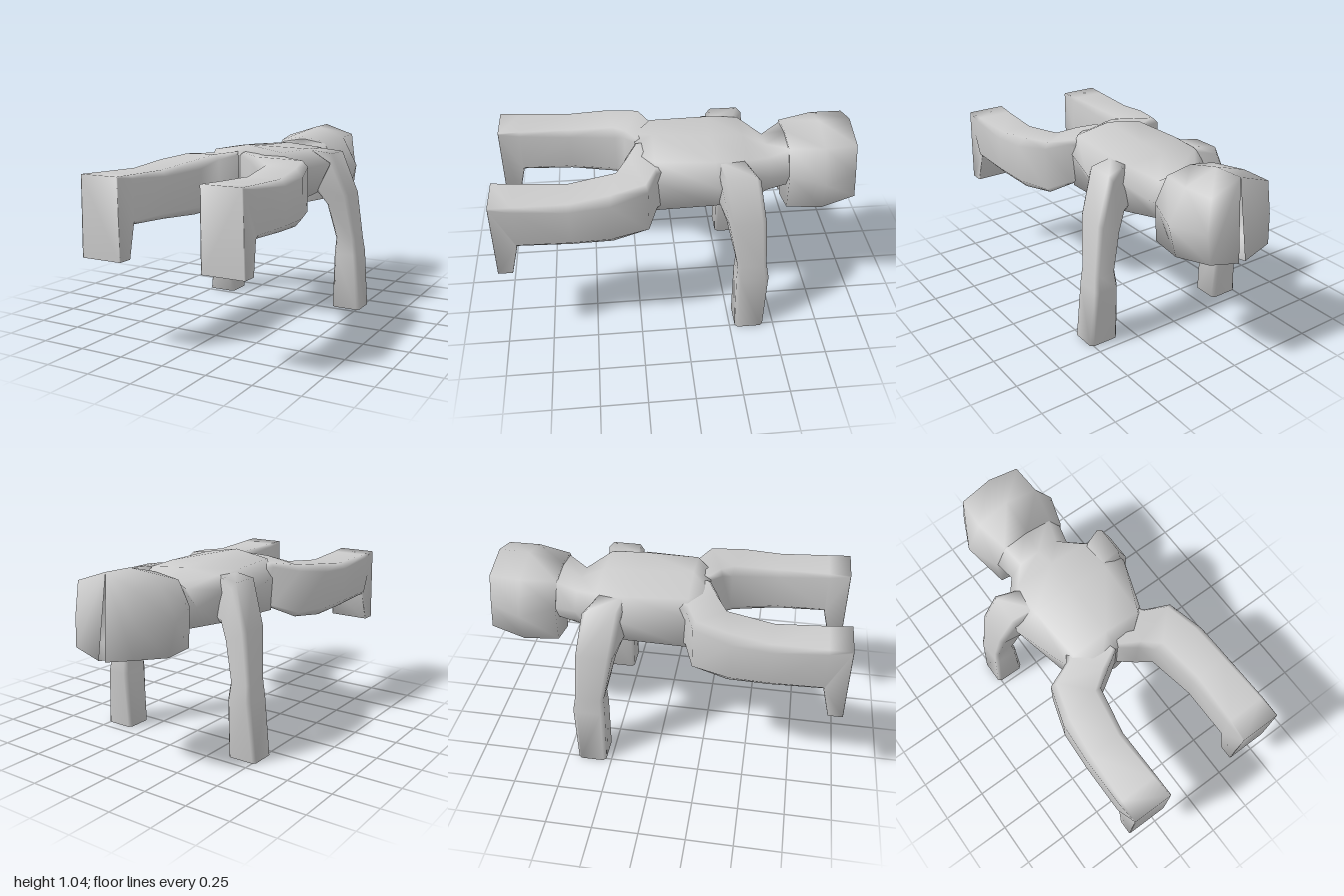
import * as THREE from 'three';

const material = new THREE.MeshStandardMaterial({ color: 0xcccccc, side: THREE.DoubleSide });

// Chamfered rectangle around centre c, with half axes a and b; k is the corner fullness
function ring(c, a, b, k) {
  const corners = [[1, k], [k, 1], [-k, 1], [-1, k], [-1, -k], [-k, -1], [k, -1], [1, -k]];
  return corners.map(([u, v]) => c.map((n, i) => n + a[i] * u + b[i] * v));
}

// Symmetric ring from a half profile running from top centre to the underside
function fullRing(z, half) {
  const right = half.map(([x, y, dz = 0]) => [x, y, z + dz]);
  const left = right.filter(p => p[0] > 0).reverse().map(([x, y, pz]) => [-x, y, pz]);
  return [...right, ...left];
}

// Smooth skin through rings, capped at both ends and wound outwards; side gap may stay open
function loft(name, rings, gap = -1) {
  const n = rings[0].length, last = (rings.length - 1) * n, index = [];
  for (let i = 0; i < n; i++) {
    if (i === gap) continue;
    const j = (i + 1) % n;
    for (let r = 0; r < last; r += n) {
      index.push(r + i, r + j, r + j + n, r + i, r + j + n, r + i + n);
    }
    if (i > 0 && j > 0) index.push(0, j, i, last, last + i, last + j);
  }

  const v = rings.flat().map(p => new THREE.Vector3(...p));
  const centre = v.reduce((s, p) => s.add(p), new THREE.Vector3()).divideScalar(v.length);
  const rel = v.map(p => p.clone().sub(centre));
  let volume = 0;
  for (let i = 0; i < index.length; i += 3) {
    volume += rel[index[i]].dot(rel[index[i + 1]].clone().cross(rel[index[i + 2]]));
  }
  if (volume < 0) index.reverse();

  const geometry = new THREE.BufferGeometry().setFromPoints(v);
  geometry.setIndex(index);
  geometry.computeVertexNormals();
  const mesh = new THREE.Mesh(geometry, material);
  mesh.name = name;
  return mesh;
}

const mirror = (rings, side) => rings.map(r => r.map(([x, y, z]) => [x * side, y, z]));

export function createModel() {
  const model = new THREE.Group();
  model.name = 'plankingFigure';

  // Pelvis, chest and neck
  model.add(loft('torso', [
    fullRing(0.235, [[0, 0.955], [0.1, 0.95], [0.13, 0.85], [0.1, 0.69], [0, 0.625]]),
    fullRing(0.14, [[0, 1.0], [0.21, 0.965], [0.25, 0.86], [0.24, 0.67], [0, 0.62]]),
    fullRing(-0.18, [[0, 0.975], [0.23, 0.957], [0.36, 0.88], [0.27, 0.7], [0, 0.63]]),
    fullRing(-0.36, [[0, 0.97], [0.22, 0.95], [0.28, 0.88], [0.24, 0.7], [0, 0.63]]),
    fullRing(-0.49, [[0, 0.9], [0.12, 0.89], [0.19, 0.8], [0.13, 0.68], [0, 0.635]]),
    fullRing(-0.61, [[0, 0.985], [0.15, 0.96], [0.215, 0.83], [0.16, 0.74], [0, 0.71]]),
  ]));

  // Head, parting slightly along the underside
  model.add(loft('head', [
    fullRing(-0.59, [[0, 0.985], [0.15, 0.96], [0.22, 0.83], [0.21, 0.615], [0.02, 0.565]]),
    fullRing(-0.78, [[0, 1.035], [0.19, 0.975], [0.285, 0.8], [0.235, 0.615], [0.02, 0.57]]),
    fullRing(-0.95, [[0, 1.04], [0.18, 0.98, -0.005], [0.2, 0.8, -0.015], [0.19, 0.645, -0.03], [0.02, 0.61, -0.05]]),
  ], 4));

  // Thigh, shin and downturned foot
  const leg = [
    ring([0.11, 0.83, 0.12], [0.11, -0.015, -0.04], [0, 0.125, 0], 0.8),
    ring([0.13, 0.825, 0.185], [0.125, -0.015, -0.05], [0, 0.13, 0], 0.85),
    ring([0.245, 0.795, 0.24], [0.148, -0.01, -0.05], [0, 0.15, 0], 0.8),
    ring([0.318, 0.77, 0.365], [0.137, 0, 0.025], [0, 0.15, 0], 0.7),
    ring([0.348, 0.765, 0.6], [0.118, 0, 0], [0, 0.13, 0], 0.75),
    ring([0.348, 0.78, 0.88], [0.118, 0, 0], [0, 0.125, 0], 0.85),
    ring([0.345, 0.78, 0.94], [0.113, 0, 0], [0, 0.13, 0.06], 0.95),
    ring([0.35, 0.487, 0.96], [0.118, 0, 0], [0, 0, 0.04], 0.95),
  ];

  // Shoulder, upper arm, forearm and hand
  const arm = [
    ring([0.2, 0.835, -0.27], [0.02, 0.115, 0], [0, 0, -0.08], 0.8),
    ring([0.308, 0.82, -0.3], [0.045, 0.112, 0], [0, 0, -0.105], 0.75),
    ring([0.378, 0.66, -0.335], [0.065, 0.03, 0], [0, 0, -0.1], 0.75),
    ring([0.416, 0.42, -0.365], [0.06, 0, 0], [0, 0, -0.08], 0.75),
    ring([0.418, 0.33, -0.37], [0.07, 0, 0], [0, 0, -0.09], 0.75),
    ring([0.43, 0, -0.36], [0.086, 0, 0], [0, 0, -0.08], 0.8),
  ];

  for (const [label, side] of [['left', 1], ['right', -1]]) {
    model.add(loft(label + 'Leg', mirror(leg, side)), loft(label + 'Arm', mirror(arm, side)));
  }
  return model;
}
